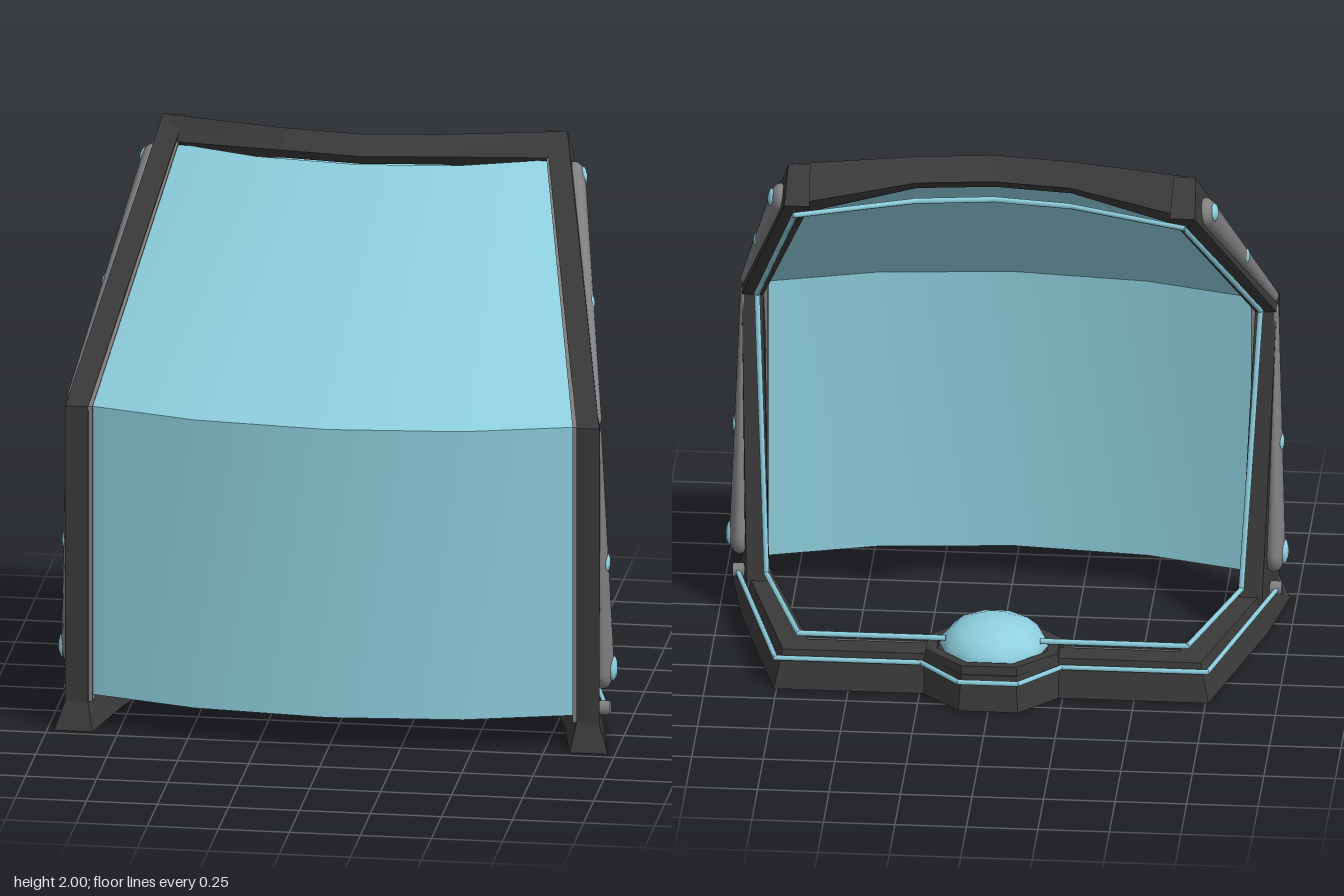
import * as THREE from 'three';

const mat = (name, color, side = THREE.FrontSide) => {
  const m = new THREE.MeshStandardMaterial({ color, side });
  m.name = name;
  return m;
};

// Flat-faced solid through convex rings of [x, y, z]; s = -1 mirrors it in x
function loft(rings, s = 1) {
  const n = rings[0].length, tris = [];
  const r = rings.map((ring) => ring.map(([x, y, z]) => new THREE.Vector3(x * s, y, z)));
  for (let i = 0; i < r.length - 1; i++) {
    for (let j = 0; j < n; j++) {
      const k = (j + 1) % n;
      tris.push([r[i][j], r[i][k], r[i + 1][k]], [r[i][j], r[i + 1][k], r[i + 1][j]]);
    }
  }
  const last = r[r.length - 1];
  for (let j = 1; j < n - 1; j++) {
    tris.push([r[0][0], r[0][j + 1], r[0][j]], [last[0], last[j], last[j + 1]]);
  }
  // Turn the faces outward if the enclosed volume is negative
  const cross = new THREE.Vector3();
  const volume = tris.reduce((v, [a, b, c]) => v + a.dot(cross.crossVectors(b, c)), 0);
  if (volume < 0) tris.forEach((t) => t.reverse());
  const g = new THREE.BufferGeometry().setFromPoints(tris.flat());
  g.computeVertexNormals();
  return g;
}

// Smooth sheet spanned between two rows of points
function sheet(low, high) {
  const n = low.length, index = [];
  const g = new THREE.BufferGeometry().setFromPoints(
    [...low, ...high].map((p) => new THREE.Vector3(...p)));
  for (let i = 0; i < n - 1; i++) index.push(i, i + 1, n + i + 1, i, n + i + 1, n + i);
  g.setIndex(index);
  g.computeVertexNormals();
  return g;
}

export function createModel() {
  const root = new THREE.Group();
  root.name = 'shieldBarrier';
  const dark = mat('darkFrame', 0x3a3a3a);
  const grey = mat('greyMetal', 0x808080);
  const glass = mat('blueGlass', 0x8fd0e0, THREE.DoubleSide);

  const add = (name, geometry, material, parent = root) => {
    const m = new THREE.Mesh(geometry, material);
    m.name = name;
    parent.add(m);
    return m;
  };

  // Thin round rods along a polyline
  const rods = (name, points, radius, s = 1) => {
    const g = new THREE.Group();
    g.name = name;
    root.add(g);
    const v = points.map(([x, y, z]) => new THREE.Vector3(x * s, y, z));
    for (let i = 0; i < v.length - 1; i++) {
      const d = v[i + 1].clone().sub(v[i]);
      const rod = add(name + 'Rod', new THREE.CylinderGeometry(radius, radius, d.length() + radius, 6), glass, g);
      rod.position.copy(v[i]).addScaledVector(d, 0.5);
      rod.quaternion.setFromUnitVectors(new THREE.Vector3(0, 1, 0), d.normalize());
    }
  };

  // Flattened tapering pod with round ends and studs at [fraction, radius, lift]
  const pod = (name, a, b, ra, rb, flat, studs, s) => {
    const A = new THREE.Vector3(a[0] * s, a[1], a[2]), B = new THREE.Vector3(b[0] * s, b[1], b[2]);
    const Y = B.clone().sub(A), len = Y.length();
    Y.normalize();
    const X = new THREE.Vector3(s, 0, 0);
    X.addScaledVector(Y, -X.dot(Y)).normalize();
    const g = new THREE.Group();
    g.name = name;
    g.position.copy(A);
    g.quaternion.setFromRotationMatrix(
      new THREE.Matrix4().makeBasis(X, Y, new THREE.Vector3().crossVectors(X, Y)));
    root.add(g);
    const body = add(name + 'Body', new THREE.CylinderGeometry(rb, ra, len, 16), grey, g);
    body.position.y = len / 2;
    body.scale.x = flat;
    [[0, ra], [len, rb]].forEach(([y, r]) => {
      const end = add(name + 'End', new THREE.SphereGeometry(r, 16, 10), grey, g);
      end.position.y = y;
      end.scale.x = flat;
    });
    studs.forEach(([t, r]) => {
      const stud = add(name + 'Stud', new THREE.SphereGeometry(r, 12, 8), glass, g);
      stud.position.set((ra + (rb - ra) * t) * flat - 0.006, len * t, 0);
      stud.scale.x = 0.4;
    });
  };

  for (const s of [1, -1]) {
    // Base: flared foot, side rail, rear rail to the middle
    add('baseRail', loft([
      [[0.975, 0, 0.47], [0.94, 0.1, 0.44], [0.86, 0.1, 0.44], [0.84, 0, 0.47]],
      [[0.92, 0, 0.17], [0.885, 0.14, 0.16], [0.795, 0.14, 0.16], [0.775, 0, 0.16]],
      [[0.76, 0, -0.42], [0.73, 0.14, -0.39], [0.65, 0.14, -0.3], [0.635, 0, -0.28]],
      [[0, 0, -0.42], [0, 0.14, -0.39], [0, 0.14, -0.3], [0, 0, -0.28]],
    ], s), dark);

    // Post tapering up to the bend, then the arm leaning back
    add('post', loft([
      [[0.94, 0.09, 0.44], [0.9, 0.09, 0.15], [0.82, 0.09, 0.15], [0.86, 0.09, 0.44]],
      [[0.94, 1.18, 0.44], [0.935, 1.15, 0.375], [0.86, 1.15, 0.375], [0.86, 1.18, 0.44]],
    ], s), dark);
    add('upperArm', loft([
      [[0.94, 1.18, 0.44], [0.935, 1.14, 0.375], [0.86, 1.14, 0.375], [0.86, 1.18, 0.44]],
      [[0.712, 2, -0.375], [0.718, 1.89, -0.485], [0.63, 1.89, -0.485], [0.635, 2, -0.375]],
    ], s), dark);

    // Grey lining between frame and glass
    const lining = (y, x, z) => [[x, y, z], [x + 0.025, y, z], [x + 0.025, y, z - 0.05], [x, y, z - 0.05]];
    add('lowerLining', loft([lining(0.1, 0.845, 0.435), lining(1.18, 0.845, 0.435)], s), grey);
    add('upperLining', loft([lining(1.18, 0.845, 0.435), lining(1.92, 0.647, -0.31)], s), grey);

    // Side pods and bolt
    pod('lowerPod', [0.935, 0.26, 0.295], [0.93, 1.14, 0.395], 0.075, 0.024, 0.5,
      [[0, 0.045], [0.455, 0.033]], s);
    pod('upperPod', [0.745, 1.85, -0.335], [0.925, 1.2, 0.385], 0.052, 0.022, 0.7,
      [[0, 0.032], [0.52, 0.025]], s);
    const bolt = add('bolt', new THREE.CylinderGeometry(0.025, 0.025, 0.05, 10), grey);
    bolt.rotation.z = Math.PI / 2;
    bolt.position.set(0.935 * s, 0.115, 0.3);

    // Light trim inside the frame and around the base
    rods('innerTrim', [[0, 1.86, -0.31], [0.27, 1.86, -0.345], [0.68, 1.86, -0.495], [0.88, 1.155, 0.355],
      [0.83, 0.18, 0.14], [0.68, 0.18, -0.34], [0.17, 0.18, -0.34]], 0.01, s);
    rods('baseTrim', [[0.945, 0.115, 0.3], [0.755, 0.115, -0.41], [0.245, 0.115, -0.41],
      [0.105, 0.115, -0.56], [0, 0.115, -0.56]], 0.009, s);
  }

  // Bowed top bar: ends lie further back than the middle
  const barEnd = (x) => [[x * 0.97, 1.92, -0.315], [x, 2, -0.375], [x * 1.01, 1.89, -0.485], [x * 0.97, 1.83, -0.43]];
  const barMid = (x, z) => [[x, 1.935, z], [x, 2, z - 0.055], [x, 1.93, z - 0.125], [x, 1.885, z - 0.07]];
  add('topBar', loft([barEnd(-0.71), barMid(-0.27, -0.222), barMid(0, -0.19),
    barMid(0.27, -0.222), barEnd(0.71)]), dark);

  // Curved glass, folded at the bend
  const arc = [[-1, 0.415], [-0.555, 0.52], [0, 0.562], [0.555, 0.52], [1, 0.415]];
  const row = (y, half, shift) => arc.map(([t, z]) => [t * half, y, z + shift]);
  add('lowerGlass', sheet(row(0.12, 0.85, 0), row(1.175, 0.85, 0)), glass);
  add('upperGlass', sheet(row(1.175, 0.85, 0), row(1.905, 0.655, -0.752)), glass);

  // Eight-sided hub with raised rear rim and dome
  const hubGeometry = new THREE.CylinderGeometry(0.25, 0.272, 0.13, 8).toNonIndexed();
  hubGeometry.rotateY(Math.PI / 8);
  hubGeometry.computeVertexNormals();
  add('hub', hubGeometry, dark).position.set(0, 0.065, -0.3);
  const rim = [[0.24, 0], [0.24, -0.1], [0.1, -0.235], [-0.1, -0.235], [-0.24, -0.1], [-0.24, 0]];
  add('hubRim', loft(rim.map(([x, z]) => [[x, 0.08, z - 0.3], [x * 0.96, 0.16, z * 0.94 - 0.3],
    [x * 0.8, 0.16, z * 0.8 - 0.3], [x * 0.8, 0.08, z * 0.8 - 0.3]])), dark);
  const dome = add('dome', new THREE.SphereGeometry(0.193, 10, 4, 0, Math.PI * 2, 0, Math.PI / 2), glass);
  dome.position.set(0, 0.13, -0.295);
  dome.scale.y = 0.6;

  return root;
}
